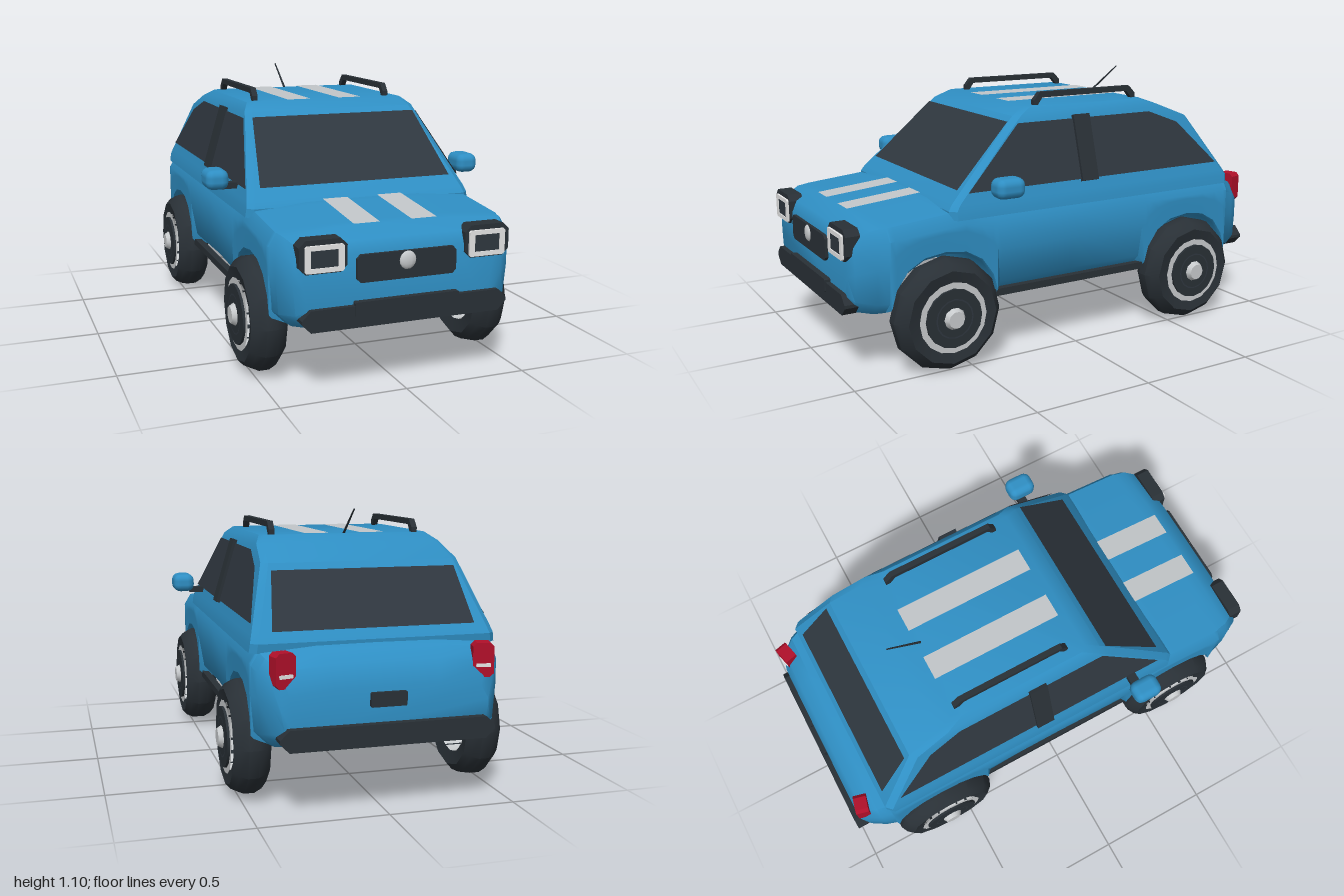
import * as THREE from 'three';
import { toCreasedNormals } from 'three/addons/utils/BufferGeometryUtils.js';
import { RoundedBoxGeometry } from 'three/addons/geometries/RoundedBoxGeometry.js';

const material = (name, color, side = THREE.FrontSide) => {
  const m = new THREE.MeshStandardMaterial({ color, side });
  m.name = name;
  return m;
};

export function createModel() {
  const car = new THREE.Group();
  car.name = 'car';
  const paint = material('bluePaint', 0x2f8fc4);
  const glass = material('darkGlass', 0x2f373f, THREE.DoubleSide);
  const trim = material('blackTrim', 0x293036);
  const stripe = material('stripeGrey', 0xc2c6c9, THREE.DoubleSide);
  const silver = material('silver', 0xc8cbcd, THREE.DoubleSide);
  const white = material('lampWhite', 0xe6e6e6);
  const red = material('tailRed', 0xb0102a);

  const add = (name, geo, mat, x = 0, y = 0, z = 0, parent = car) => {
    const m = new THREE.Mesh(geo, mat);
    m.name = name;
    m.position.set(x, y, z);
    parent.add(m);
    return m;
  };

  // Closed skin through rings of equal point count, capped at both ends
  const loft = (rings, crease) => {
    const n = rings[0].length, idx = [], last = (rings.length - 1) * n;
    for (let i = 0; i < rings.length - 1; i++) {
      for (let j = 0; j < n; j++) {
        const k = (j + 1) % n, a = i * n + j, b = i * n + k;
        idx.push(a, a + n, b, b, a + n, b + n);
      }
    }
    for (let j = 1; j < n - 1; j++) {
      idx.push(0, j, j + 1, last, last + j + 1, last + j);
    }
    const g = new THREE.BufferGeometry();
    g.setAttribute('position', new THREE.Float32BufferAttribute(rings.flat(2), 3));
    g.setIndex(idx);
    return toCreasedNormals(g, crease);
  };

  // Flat convex panel from corner points
  const panel = (pts) => {
    const g = new THREE.BufferGeometry(), idx = [];
    g.setAttribute('position', new THREE.Float32BufferAttribute(pts.flat(), 3));
    for (let j = 1; j < pts.length - 1; j++) idx.push(0, j, j + 1);
    g.setIndex(idx);
    g.computeVertexNormals();
    return g;
  };

  // Plate with cut corners, optionally framing a hole, centred on its depth
  const plate = (w, h, d, c, hole) => {
    const x = w / 2, y = h / 2;
    const s = new THREE.Shape([[-x + c, -y], [x - c, -y], [x, -y + c], [x, y - c],
      [x - c, y], [-x + c, y], [-x, y - c], [-x, -y + c]].map(p => new THREE.Vector2(...p)));
    if (hole) {
      const [a, b] = [hole[0] / 2, hole[1] / 2];
      s.holes.push(new THREE.Path([[-a, -b], [-a, b], [a, b], [a, -b]].map(p => new THREE.Vector2(...p))));
    }
    return new THREE.ExtrudeGeometry(s, { depth: d, bevelEnabled: false }).translate(0, 0, -d / 2);
  };

  // Lower body: stations of z, half width, lower half width, bottom, shoulder height
  const hoodY = z => 0.6 + (0.88 - z) * 0.09;
  const arch = c => [0.23, 0.21, 0.16, 0.09, 0, -0.09, -0.16, -0.21, -0.23]
    .map((d, i) => [c + d, 0.487, 0.485, [0.28, 0.35, 0.42, 0.46, 0.472][i > 4 ? 8 - i : i]]);
  const stations = [
    [0.975, 0.4, 0.39, 0.29, 0.52], [0.955, 0.435, 0.425, 0.272, 0.565],
    [0.88, 0.475, 0.465, 0.26, 0.6], [0.835, 0.483, 0.475, 0.26],
    ...arch(0.6), [0.35, 0.488, 0.465, 0.268], [0, 0.488, 0.455, 0.268],
    [-0.35, 0.488, 0.465, 0.268], ...arch(-0.6),
    [-0.835, 0.483, 0.475, 0.26, 0.605], [-0.88, 0.47, 0.46, 0.26, 0.59],
    [-0.94, 0.43, 0.425, 0.272, 0.55], [-0.968, 0.4, 0.39, 0.29, 0.46],
  ];
  add('body', loft(stations.map(([z, w, lw, bot, top = z > 0.5 ? hoodY(z) : 0.615]) => {
    const c = bot > 0.275 && Math.abs(z) < 0.9 ? 0.012 : 0.05;
    const half = [[lw - c, bot], [lw, bot + c], [w, bot + (top - bot) * 0.55],
      [w, top - 0.05], [w - 0.03, top], [w * 0.5, top + 0.018], [0.02, top + 0.02]];
    const ring = [...half, ...half.map(([x, y]) => [-x, y]).reverse()];
    return ring.map(([x, y]) => [x, y, z]);
  }), 0.75), paint);

  // Cabin: layers of y, half width, front z, rear z
  const layers = [[0.6, 0.487, 0.57, -0.842], [0.635, 0.482, 0.572, -0.845], [0.66, 0.475, 0.555, -0.83],
    [0.91, 0.4, 0.293, -0.66], [0.97, 0.383, 0.23, -0.51], [1.0, 0.355, 0.17, -0.43]];
  add('cabin', loft(layers.map(([y, w, f, r]) => {
    const c = 0.025;
    return [[w, r + c], [w, f - c], [w - c, f], [c - w, f], [-w, f - c], [-w, r + c], [c - w, r], [w - c, r]]
      .map(([x, z]) => [x, y, z]);
  }), 0.5), paint);

  // Windows lie just outside the sloping cabin faces
  const sideX = y => 0.475 - 0.298 * (y - 0.66) + 0.005;
  const frontZ = y => 0.555 - 1.05 * (y - 0.66) + 0.006;
  const rearZ = y => -0.83 + 0.68 * (y - 0.66) - 0.006;
  add('windscreen', panel([[-0.415, 0.705], [0.415, 0.705], [0.365, 0.95], [-0.365, 0.95]]
    .map(([x, y]) => [x, y, frontZ(y)])), glass);
  add('rearWindow', panel([[0.4, 0.675], [-0.4, 0.675], [-0.37, 0.885], [0.37, 0.885]]
    .map(([x, y]) => [x, y, rearZ(y)])), glass);

  // Painted stripes on hood and roof
  for (const s of [-1, 1]) {
    const a = s * 0.065, b = s * 0.17;
    const strip = (z0, z1, y0, y1) => panel(s > 0
      ? [[a, y0, z0], [b, y0, z0], [b, y1, z1], [a, y1, z1]]
      : [[b, y0, z0], [a, y0, z0], [a, y1, z1], [b, y1, z1]]);
    add('hoodStripe', strip(0.88, 0.56, hoodY(0.88) + 0.025, hoodY(0.56) + 0.025), stripe);
    add('roofStripe', strip(0.14, -0.43, 1.004, 1.004), stripe);
  }

  // Front and rear fittings
  add('grille', plate(0.4, 0.105, 0.04, 0.015), trim, 0, 0.483, 0.968);
  const badge = add('roundBadge', new THREE.SphereGeometry(0.036, 10, 8), silver, 0, 0.5, 0.985);
  badge.scale.z = 0.4;
  add('frontBumper', plate(0.83, 0.083, 0.07, 0.035), trim, 0, 0.307, 0.96);
  add('frontBumperCentre', plate(0.42, 0.055, 0.06, 0.004), trim, 0, 0.335, 0.97);
  add('rearBumper', plate(0.83, 0.083, 0.07, 0.035), trim, 0, 0.307, -0.965);
  add('rearPlate', plate(0.14, 0.055, 0.03, 0.004), trim, 0, 0.435, -0.967);
  const antenna = add('antenna', new THREE.CylinderGeometry(0.003, 0.005, 0.175, 6), trim, 0, 1.052, -0.48);
  antenna.rotation.x = -0.93;

  // Wheel profile, turned around the axle
  const tyreProfile = [[0.135, -0.06], [0.19, -0.072], [0.215, -0.05], [0.23, -0.02], [0.23, 0.02],
    [0.215, 0.05], [0.19, 0.072], [0.135, 0.06], [0.135, -0.06]].map(p => new THREE.Vector2(...p));
  const turn = g => g.rotateZ(-Math.PI / 2);
  const tyreGeo = toCreasedNormals(turn(new THREE.LatheGeometry(tyreProfile, 12)), 0.6);
  const wheel = (x, z) => {
    const g = new THREE.Group();
    g.name = 'wheel';
    g.position.set(x, 0.232, z);
    if (x < 0) g.rotation.y = Math.PI;
    add('tyre', tyreGeo, trim, 0, 0, 0, g);
    add('rimBarrel', turn(new THREE.CylinderGeometry(0.132, 0.132, 0.118, 16, 1, true)), silver, 0, 0, 0, g);
    add('rimRing', new THREE.RingGeometry(0.115, 0.145, 16).rotateY(Math.PI / 2), silver, 0.072, 0, 0, g);
    add('wheelDisc', turn(new THREE.CylinderGeometry(0.12, 0.12, 0.012, 16)), trim, 0.076, 0, 0, g);
    add('ringGroove', new THREE.RingGeometry(0.075, 0.081, 16).rotateY(Math.PI / 2), glass, 0.084, 0, 0, g);
    add('hubCap', turn(new THREE.CylinderGeometry(0.034, 0.047, 0.022, 10)), silver, 0.09, 0, 0, g);
    car.add(g);
  };

  // Roof rail outline, side on
  const railShape = new THREE.Shape([[0.1, 1.0], [0.1, 1.02], [0.072, 1.053], [-0.388, 1.053], [-0.42, 1.02],
    [-0.42, 1.0], [-0.4, 1.0], [-0.375, 1.03], [0.06, 1.03], [0.082, 1.0]].map(p => new THREE.Vector2(...p)));
  const railGeo = new THREE.ExtrudeGeometry(railShape, { depth: 0.024, bevelEnabled: false })
    .translate(0, 0, -0.012).rotateY(-Math.PI / 2);

  // Parts that repeat on both sides
  for (const s of [-1, 1]) {
    wheel(s * 0.47, 0.6);
    wheel(s * 0.47, -0.6);
    add('sideWindow', panel([[0.49, 0.7], [0.225, 0.945], [-0.44, 0.945], [-0.585, 0.89], [-0.77, 0.7]]
      .map(([z, y]) => [s * sideX(y), y, z]).reverse().sort(() => 0)), glass);
    const pillar = add('doorPillar', new THREE.BoxGeometry(0.022, 0.28, 0.08), trim, s * 0.432, 0.825, -0.08);
    pillar.rotation.z = s * 0.289;
    add('sill', new THREE.BoxGeometry(0.03, 0.03, 0.76), trim, s * 0.458, 0.275, 0);
    add('roofRail', railGeo, trim, s * 0.305, 0, 0);
    add('mirror', new RoundedBoxGeometry(0.095, 0.082, 0.125, 2, 0.032), paint, s * 0.558, 0.727, 0.365);
    add('mirrorArm', new THREE.BoxGeometry(0.1, 0.025, 0.04), trim, s * 0.48, 0.693, 0.35);
    add('headlightHousing', plate(0.185, 0.125, 0.06, 0.025), trim, s * 0.33, 0.543, 0.955);
    add('headlightFrame', plate(0.15, 0.1, 0.012, 0.006, [0.105, 0.065]), white, s * 0.327, 0.536, 0.988);
    add('headlightLens', plate(0.105, 0.065, 0.008, 0.002), glass, s * 0.327, 0.536, 0.986);
    const lamp = add('tailLight', plate(0.08, 0.13, 0.055, 0.014), red, s * 0.388, 0.555, -0.93);
    lamp.rotation.y = s * 0.25;
    add('reverseLight', plate(0.055, 0.014, 0.008, 0.002), white, 0, -0.02, -0.027, lamp);
  }
  return car;
}
